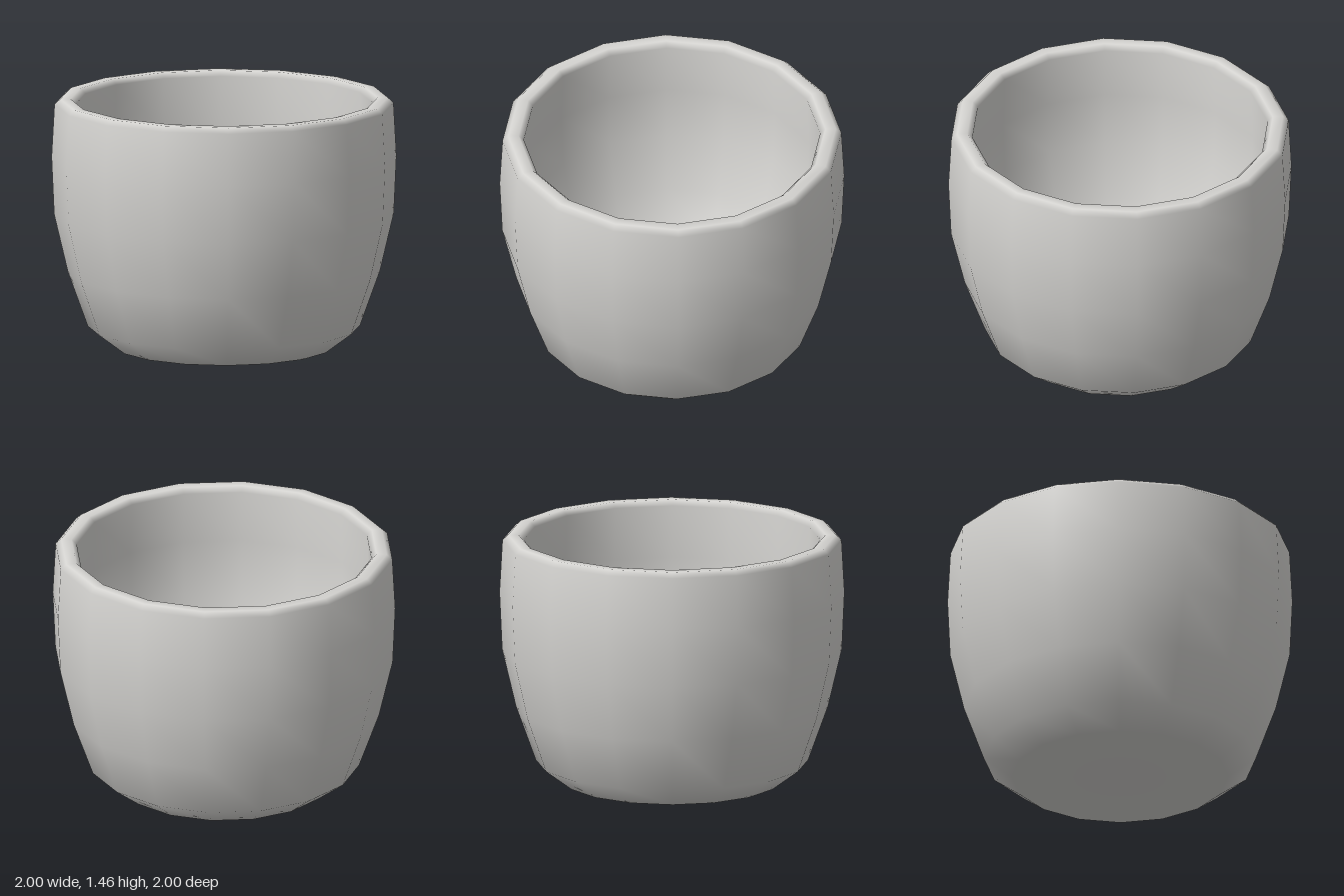
import * as THREE from 'three';
import { mergeVertices } from 'three/addons/utils/BufferGeometryUtils.js';

const SIDES = 16;

export function createModel() {
  const group = new THREE.Group();
  group.name = 'cup';
  const ceramic = new THREE.MeshStandardMaterial({ color: 0xd6d5d2 });
  ceramic.name = 'paleCeramic';

  // Cross-section: outside from the base up, over the rim, then down inside to the floor
  const profile = [
    [0, 0], [0.63, 0], [0.79, 0.12], [0.905, 0.44], [0.985, 0.78], [1, 1.12],
    [0.983, 1.43], [0.95, 1.46], [0.89, 1.46], [0.86, 1.43],
    [0.875, 1.12], [0.86, 0.8], [0.785, 0.47], [0.69, 0.2], [0.6, 0.13], [0, 0.13],
  ].map(([r, y]) => new THREE.Vector2(r, y));

  // Weld the seam and poles so the area-weighted normals stay smooth all round
  const lathe = new THREE.LatheGeometry(profile, SIDES);
  lathe.deleteAttribute('uv');
  lathe.deleteAttribute('normal');
  const geometry = mergeVertices(lathe, 1e-4);
  geometry.computeVertexNormals();

  const bowl = new THREE.Mesh(geometry, ceramic);
  bowl.name = 'cupBody';
  group.add(bowl);
  return group;
}
